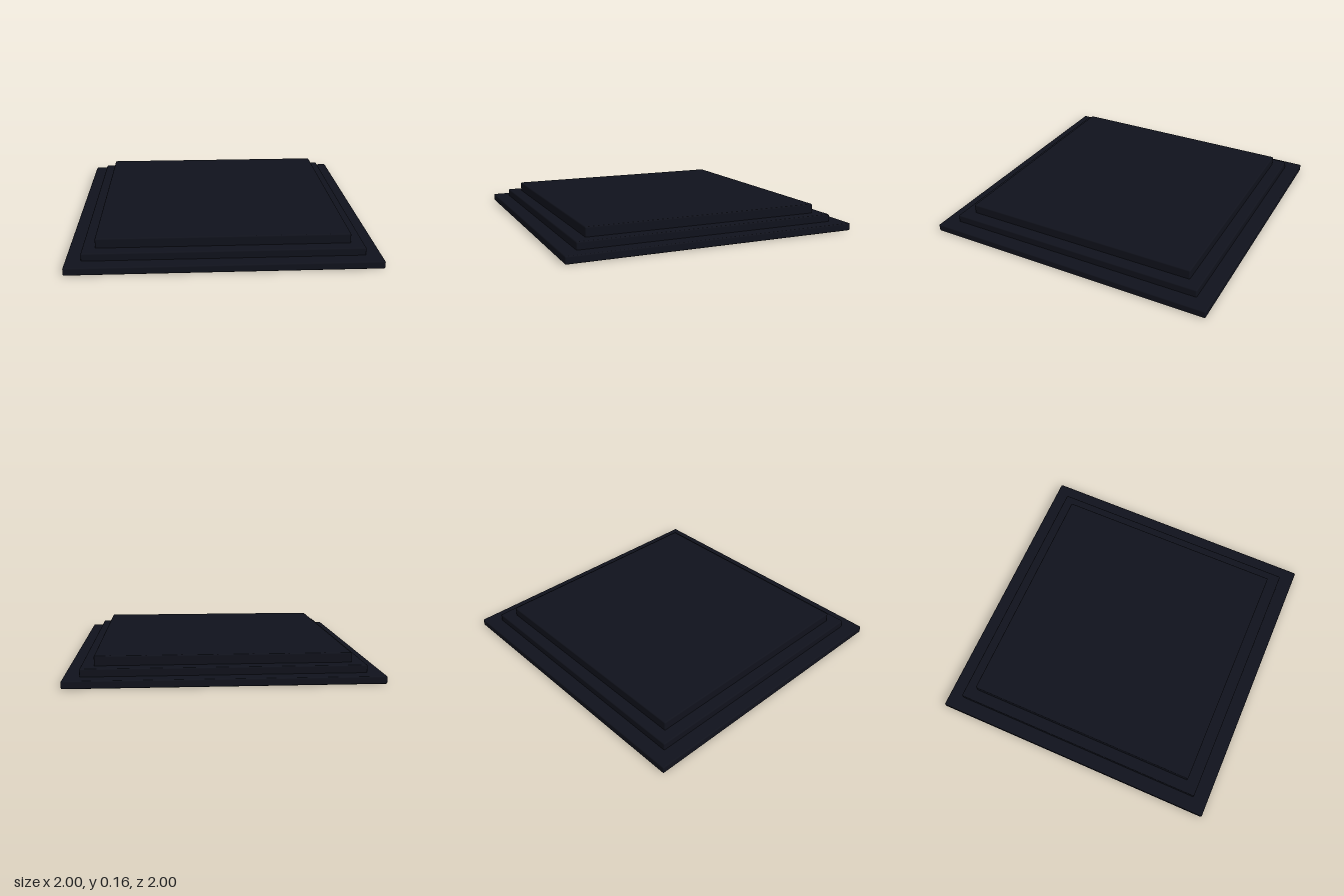
import * as THREE from 'three';
import { RoundedBoxGeometry } from 'three/addons/geometries/RoundedBoxGeometry.js';

const EDGE = 0.008; // softened edge radius

export function createModel() {
  const model = new THREE.Group();
  model.name = 'steppedPlinth';
  const material = new THREE.MeshStandardMaterial({ color: 0x10121c });

  // Square slabs stacked from the ground up; upper ones sink in to hide their lower edges
  const tiers = [
    { name: 'baseSlab', width: 2, bottom: 0, top: 0.05 },
    { name: 'middleSlab', width: 1.8, bottom: 0.04, top: 0.1 },
    { name: 'topSlab', width: 1.635, bottom: 0.09, top: 0.163 },
  ];

  for (const { name, width, bottom, top } of tiers) {
    const slab = new THREE.Mesh(new RoundedBoxGeometry(width, top - bottom, width, 3, EDGE), material);
    slab.name = name;
    slab.position.y = (bottom + top) / 2;
    model.add(slab);
  }
  return model;
}
